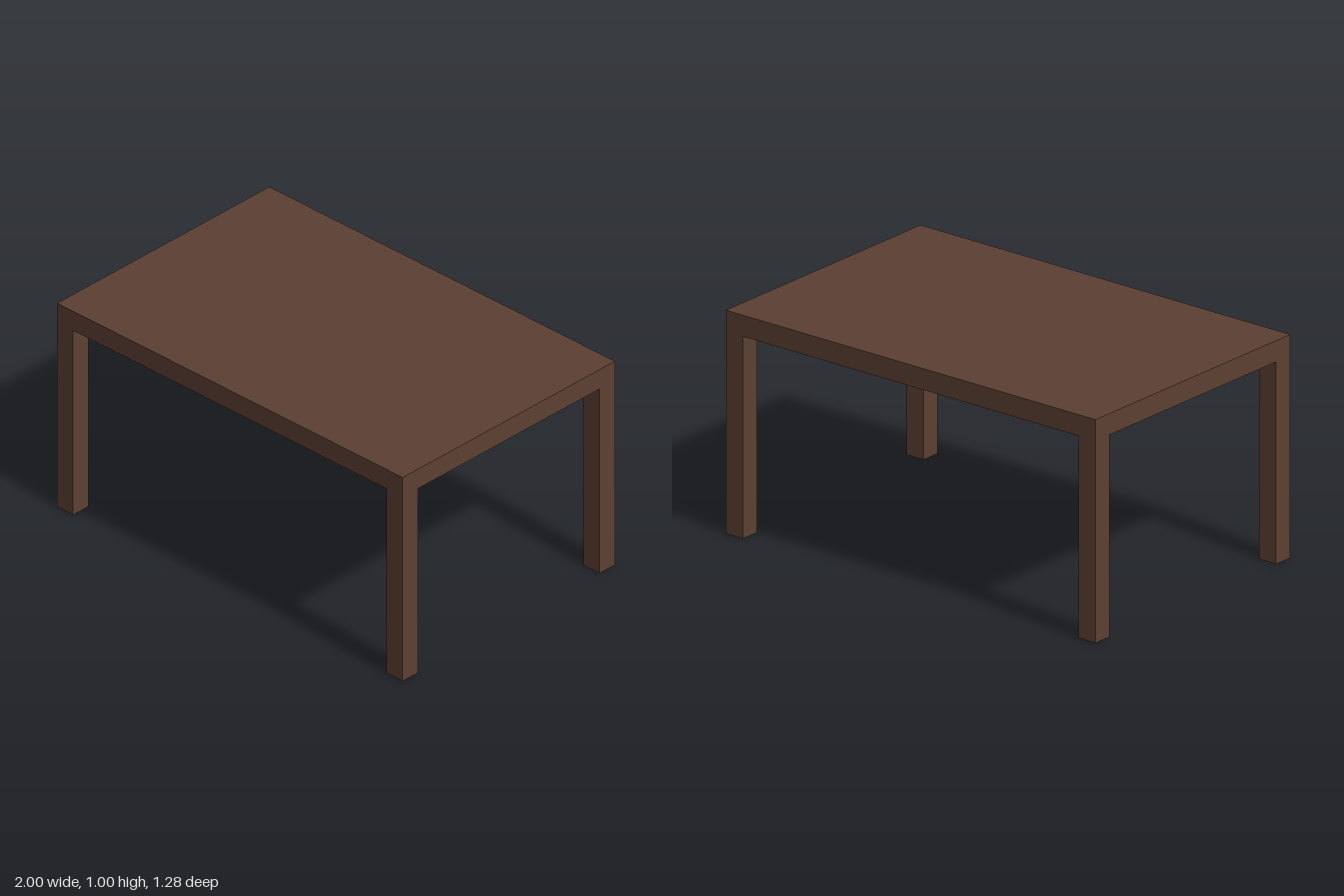
import * as THREE from 'three';

const WIDTH = 2, DEPTH = 1.28, HEIGHT = 1;
const TOP = 0.095; // tabletop thickness
const LEG = 0.093; // leg side

export function createModel() {
  const table = new THREE.Group();
  table.name = 'table';
  const brown = new THREE.MeshStandardMaterial({ color: 0x5c4033 });
  brown.name = 'dark brown wood';

  // Tabletop slab
  const top = new THREE.Mesh(new THREE.BoxGeometry(WIDTH, TOP, DEPTH), brown);
  top.name = 'tabletop';
  top.position.y = HEIGHT - TOP / 2;
  table.add(top);

  // Four square legs flush with the corners
  const legHeight = HEIGHT - TOP;
  const legGeometry = new THREE.BoxGeometry(LEG, legHeight, LEG);
  for (const [sx, side] of [[1, 'Left'], [-1, 'Right']]) {
    for (const [sz, end] of [[1, 'front'], [-1, 'back']]) {
      const leg = new THREE.Mesh(legGeometry, brown);
      leg.name = `${end}${side}Leg`;
      leg.position.set(sx * (WIDTH - LEG) / 2, legHeight / 2, sz * (DEPTH - LEG) / 2);
      table.add(leg);
    }
  }
  return table;
}
